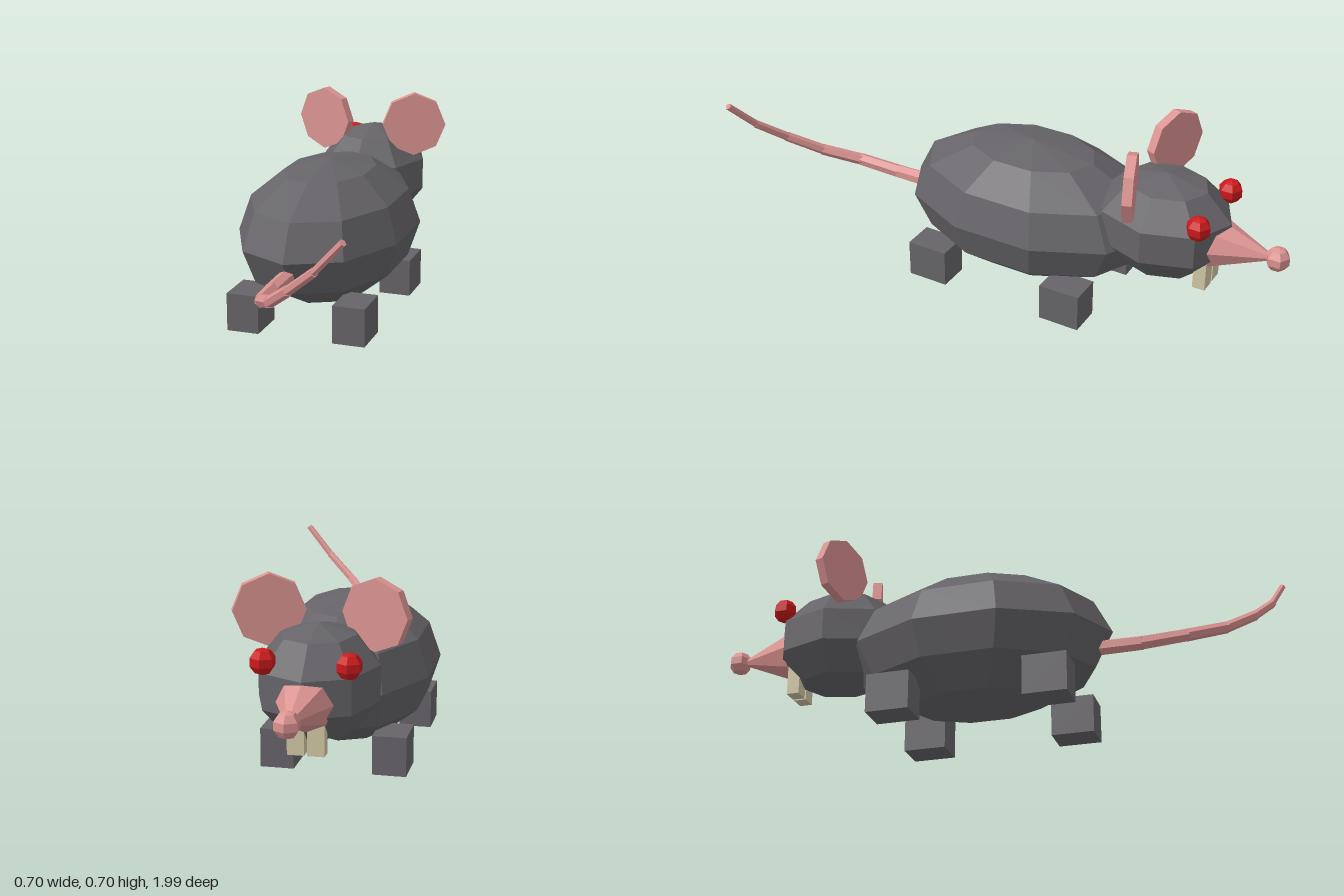
import * as THREE from 'three';

const mat = (name, color) => {
  const m = new THREE.MeshStandardMaterial({ color, flatShading: true });
  m.name = name;
  return m;
};

export function createModel() {
  const fur = mat('grey fur', 0x666468);
  const pink = mat('pink skin', 0xdc9492);
  const red = mat('red eye', 0xcc1a1c);
  const ivory = mat('ivory tooth', 0xd2c8a6);

  const root = new THREE.Group();
  root.name = 'rat';
  const midX = -0.057;

  const add = (name, geo, material, x, y, z) => {
    const mesh = new THREE.Mesh(geo, material);
    mesh.name = name;
    mesh.position.set(x, y, z);
    root.add(mesh);
    return mesh;
  };
  // Faceted ball with a seam of vertices on the z axis
  const ball = (rx, ry, rz, w, h) =>
    new THREE.SphereGeometry(1, w, h, Math.PI / 2).scale(rx, ry, rz);

  // Body and head
  add('body', ball(0.306, 0.2475, 0.475, 10, 6), fur, midX, 0.2975, -0.04);
  add('head', ball(0.207, 0.188, 0.252, 8, 5), fur, midX, 0.376, -0.55);

  // Snout cone and nose, pointing to -z
  const snoutGeo = new THREE.ConeGeometry(0.092, 0.22, 8).rotateX(-Math.PI / 2);
  add('snout', snoutGeo, pink, midX, 0.355, -0.85);
  add('nose', ball(0.043, 0.043, 0.043, 6, 5), pink, midX, 0.357, -0.957);

  // Paired parts, mirrored about the body's middle
  for (const s of [-1, 1]) {
    const side = s > 0 ? 'left' : 'right';
    const earGeo = new THREE.CylinderGeometry(0.118, 0.118, 0.033, 8).rotateX(Math.PI / 2);
    const ear = add(side + 'Ear', earGeo, pink, midX + s * 0.174, 0.582, -0.497);
    ear.rotation.y = s * 0.35;
    add(side + 'Eye', ball(0.043, 0.043, 0.043, 6, 5), red, midX + s * 0.134, 0.475, -0.726);
    add(side + 'Tooth', new THREE.BoxGeometry(0.054, 0.12, 0.045), ivory, midX + s * 0.032, 0.246, -0.713);
    for (const [end, z] of [['front', -0.282], ['back', 0.255]]) {
      add(`${end}${s > 0 ? 'Left' : 'Right'}Leg`, new THREE.BoxGeometry(0.115, 0.135, 0.15), fur,
        midX + s * 0.191, 0.0675, z);
    }
  }

  // Tail: tapering hexagonal links along a rising curve
  const path = [
    [-0.057, 0.244, 0.36], [-0.056, 0.244, 0.53], [-0.03, 0.265, 0.685], [0.045, 0.31, 0.805],
    [0.137, 0.385, 0.895], [0.237, 0.47, 0.95], [0.335, 0.577, 0.984],
  ].map((p) => new THREE.Vector3(...p));
  const up = new THREE.Vector3(0, 1, 0);
  for (let i = 0; i < path.length - 1; i++) {
    const dir = path[i + 1].clone().sub(path[i]);
    const r = 0.028 - i * 0.003;
    const geo = new THREE.CylinderGeometry(r * 0.93, r, dir.length() + 0.012, 6);
    const mid = path[i].clone().lerp(path[i + 1], 0.5);
    const link = add('tailLink' + (i + 1), geo, pink, mid.x, mid.y, mid.z);
    link.quaternion.setFromUnitVectors(up, dir.normalize());
  }

  return root;
}
